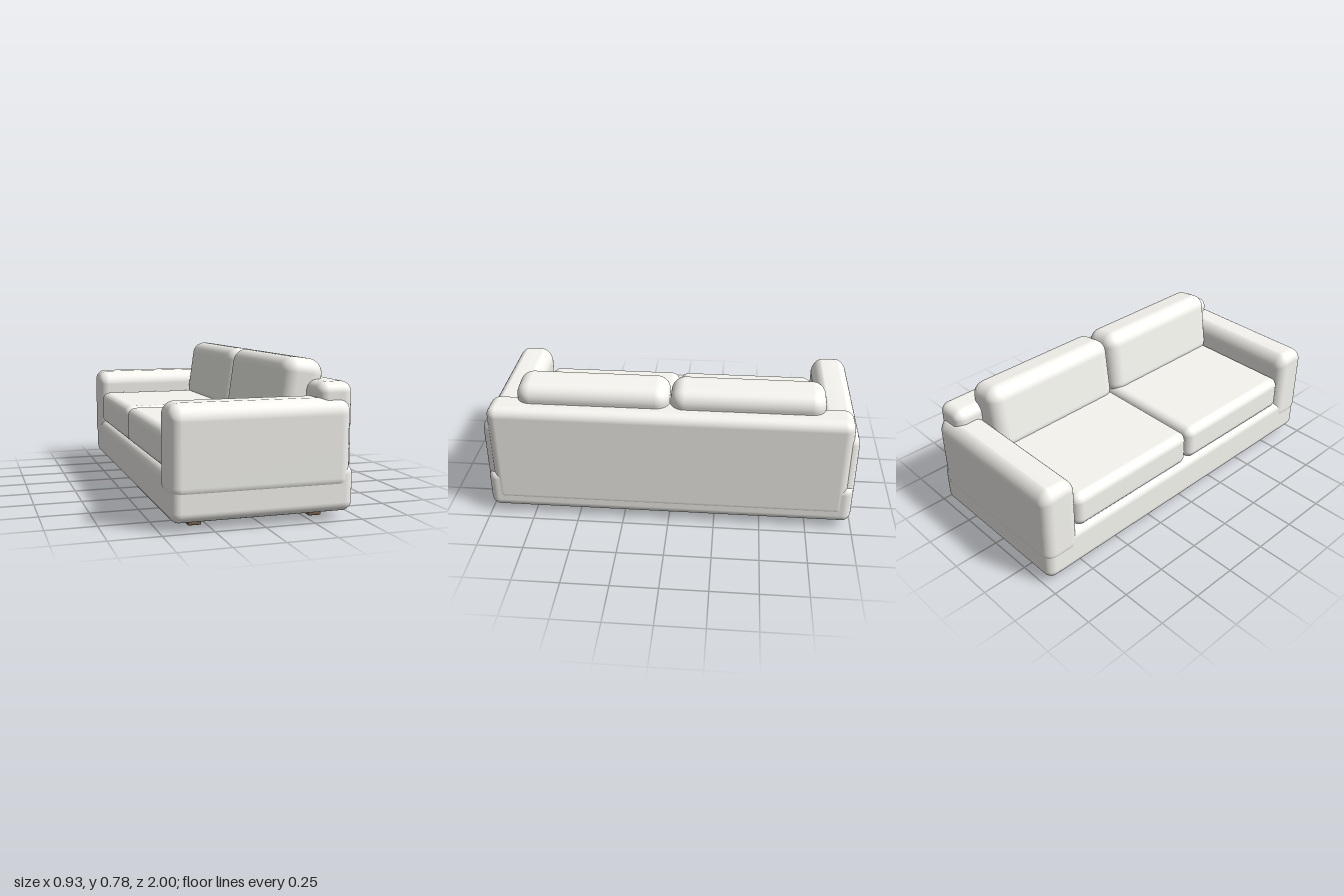
import * as THREE from 'three';
import { RoundedBoxGeometry } from 'three/addons/geometries/RoundedBoxGeometry.js';
import { mergeVertices } from 'three/addons/utils/BufferGeometryUtils.js';

const fabric = new THREE.MeshStandardMaterial({ color: 0xf6f5f0 });
const wood = new THREE.MeshStandardMaterial({ color: 0x78634f });

// Soft box given by its [min, max] extent on each axis
function softBox(name, [x0, x1], [y0, y1], [z0, z1], radius, material = fabric, segments = 6) {
  const geometry = new RoundedBoxGeometry(x1 - x0, y1 - y0, z1 - z0, segments, radius);
  const mesh = new THREE.Mesh(geometry, material);
  mesh.name = name;
  mesh.position.set((x0 + x1) / 2, (y0 + y1) / 2, (z0 + z1) / 2);
  return mesh;
}

// Lowers the long upper edges so that the top is gently domed across z
function domeTop(mesh, halfWidth, drop) {
  const geometry = mesh.geometry;
  geometry.deleteAttribute('normal');
  geometry.deleteAttribute('uv');
  const p = geometry.attributes.position;
  for (let i = 0; i < p.count; i++) {
    if (p.getY(i) > 0) p.setY(i, p.getY(i) - drop * (p.getZ(i) / halfWidth) ** 2);
  }
  mesh.geometry = mergeVertices(geometry);
  mesh.geometry.computeVertexNormals();
  return mesh;
}

// Extent along z, mirrored to the chosen end
const span = (side, a, b) => (side > 0 ? [a, b] : [-b, -a]);

export function createModel() {
  const sofa = new THREE.Group();
  sofa.name = 'sofa';

  // The seat opens towards -x, with the backrest along +x
  sofa.add(softBox('base', [-0.458, 0.46], [0.04, 0.275], [-0.994, 0.994], 0.05));
  sofa.add(softBox('backrest', [0.277, 0.462], [0.08, 0.67], [-0.965, 0.965], 0.053));

  for (const side of [-1, 1]) {
    // Padded arm overlapping the base
    const arm = softBox('arm', [-0.463, 0.441], [0.15, 0.601], span(side, 0.793, 1), 0.058);
    sofa.add(domeTop(arm, 0.1035, 0.03));

    // Seat cushion
    sofa.add(softBox('seatCushion', [-0.455, 0.3], [0.265, 0.462], span(side, 0.004, 0.797), 0.048));

    // Back cushion leaning on the backrest
    const cushion = softBox('backCushion', [-0.112, 0.112], [-0.19, 0.19], span(side, 0.002, 0.817), 0.075);
    cushion.position.x = 0.255;
    cushion.position.y = 0.586;
    cushion.rotation.z = -0.14;
    sofa.add(cushion);

    // Short wooden feet
    for (const x of [-0.309, 0.309]) {
      sofa.add(softBox('foot', [x - 0.033, x + 0.033], [0, 0.06], span(side, 0.803, 0.869), 0.006, wood, 2));
    }
  }
  return sofa;
}
